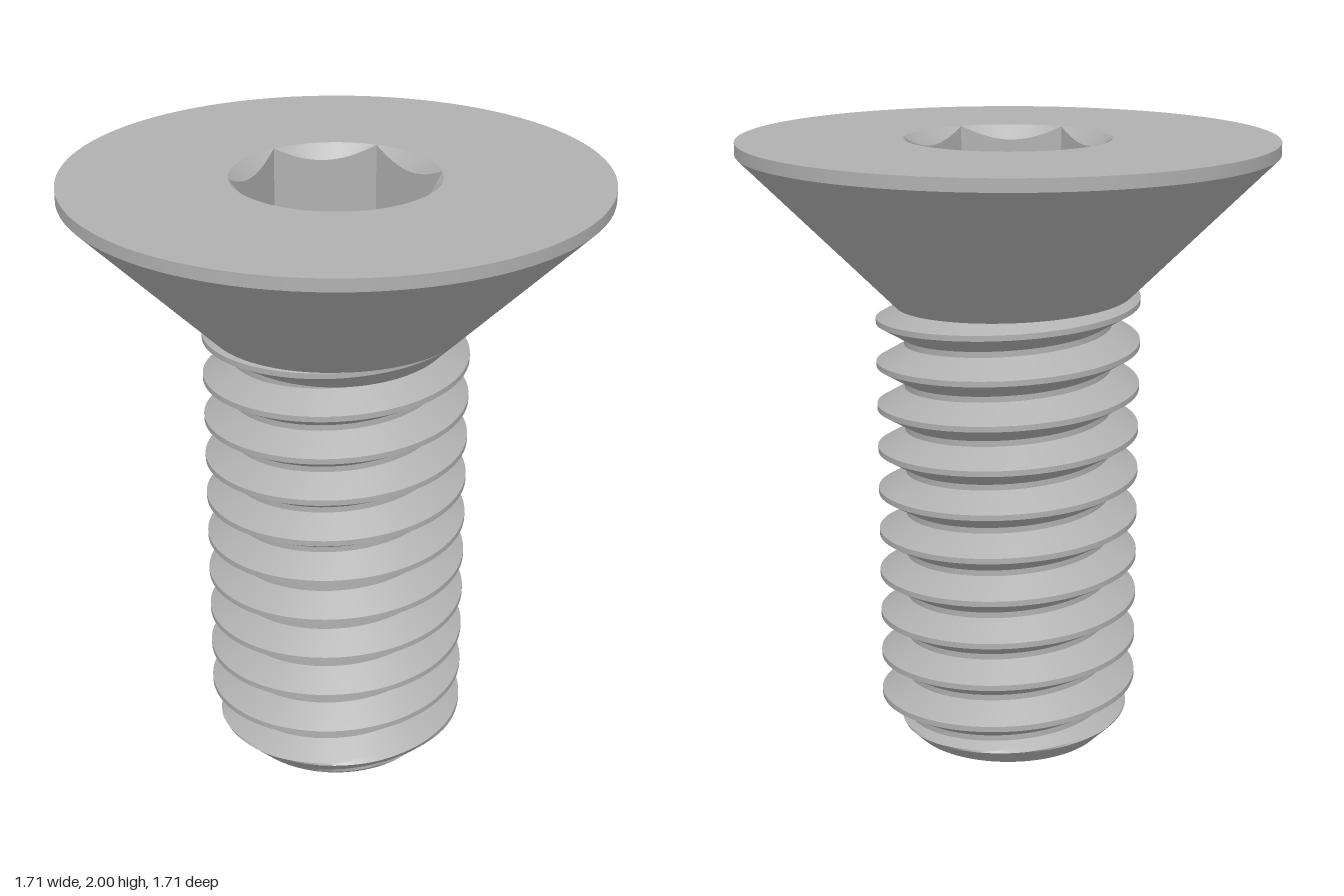
import * as THREE from 'three';
import { toCreasedNormals } from 'three/addons/utils/BufferGeometryUtils.js';

const SEGMENTS = 96;
const PITCH = 0.1429;
const ROOT = 0.337, CREST = 0.427; // thread radii
const HEAD_R = 0.856, TIP_R = 0.32;
const SOCKET_R = 0.33, SOCKET_FLOOR = 1.67;

// Sweeps rows of points around the y axis; each row maps an angle to [radius, y].
function sweep(rows) {
  const positions = [], index = [], stride = SEGMENTS + 1;
  for (const row of rows) {
    for (let i = 0; i <= SEGMENTS; i++) {
      const a = (i / SEGMENTS) * Math.PI * 2;
      const [r, y] = row(a);
      positions.push(r * Math.cos(a), y, -r * Math.sin(a));
    }
  }
  for (let j = 0; j < rows.length - 1; j++) {
    for (let i = 0; i < SEGMENTS; i++) {
      const a = j * stride + i, b = a + 1, c = a + stride, d = c + 1;
      index.push(a, b, d, a, d, c);
    }
  }
  const geometry = new THREE.BufferGeometry();
  geometry.setAttribute('position', new THREE.Float32BufferAttribute(positions, 3));
  geometry.setIndex(index);
  return toCreasedNormals(geometry, 0.3);
}

const ring = (r, y) => () => [r, y];

// Radius of the hexagon at an angle, with flats facing +x and -x
function hexRadius(a) {
  const step = Math.PI / 3;
  const local = ((a + step / 2) % step) - step / 2;
  return SOCKET_R * Math.cos(step / 2) / Math.cos(local);
}

// Right-handed helical thread, trimmed by a 45 degree chamfer at the tip
function threadRows() {
  const rows = [];
  const addRow = (y0, r) => rows.push((a) => {
    const y = THREE.MathUtils.clamp(y0 + PITCH * a / (Math.PI * 2), 0, 1.56);
    return [Math.min(r, TIP_R + y), y];
  });
  const halfCrest = 0.009, halfBase = 0.062, steps = 8;
  for (let turn = -1; turn <= 11; turn++) {
    const centre = -0.025 + turn * PITCH;
    for (const side of [-1, 1]) {
      for (let s = 0; s <= steps; s++) {
        const t = side < 0 ? s / steps : 1 - s / steps; // 0 at root, 1 at crest
        const offset = THREE.MathUtils.lerp(halfBase, halfCrest, t);
        addRow(centre + side * offset, THREE.MathUtils.lerp(ROOT, CREST, t));
      }
    }
  }
  return rows;
}

export function createModel() {
  const group = new THREE.Group();
  const steel = new THREE.MeshStandardMaterial({ color: 0xb0b0b0 });
  steel.name = 'steel';

  const add = (name, geometry) => {
    const mesh = new THREE.Mesh(geometry, steel);
    mesh.name = name;
    group.add(mesh);
    return mesh;
  };

  // Countersunk head: cone, thin rim and flat top around the socket
  add('head', sweep([
    ring(TIP_R, 1.424),
    ring(HEAD_R, 1.96),
    ring(HEAD_R, 2),
    ring(SOCKET_R, 2),
  ]));

  // Hexagonal socket with a conical lead-in and a flat floor
  const leadIn = (a) => [hexRadius(a), 2 - (SOCKET_R - hexRadius(a))];
  add('hexSocket', sweep([
    ring(SOCKET_R, 2),
    leadIn,
    (a) => [hexRadius(a), SOCKET_FLOOR],
    ring(0, SOCKET_FLOOR),
  ]));

  // Threaded shank and its flat end
  add('threadedShank', sweep(threadRows()));
  add('shankEnd', new THREE.CircleGeometry(TIP_R, SEGMENTS).rotateX(Math.PI / 2));

  return group;
}
